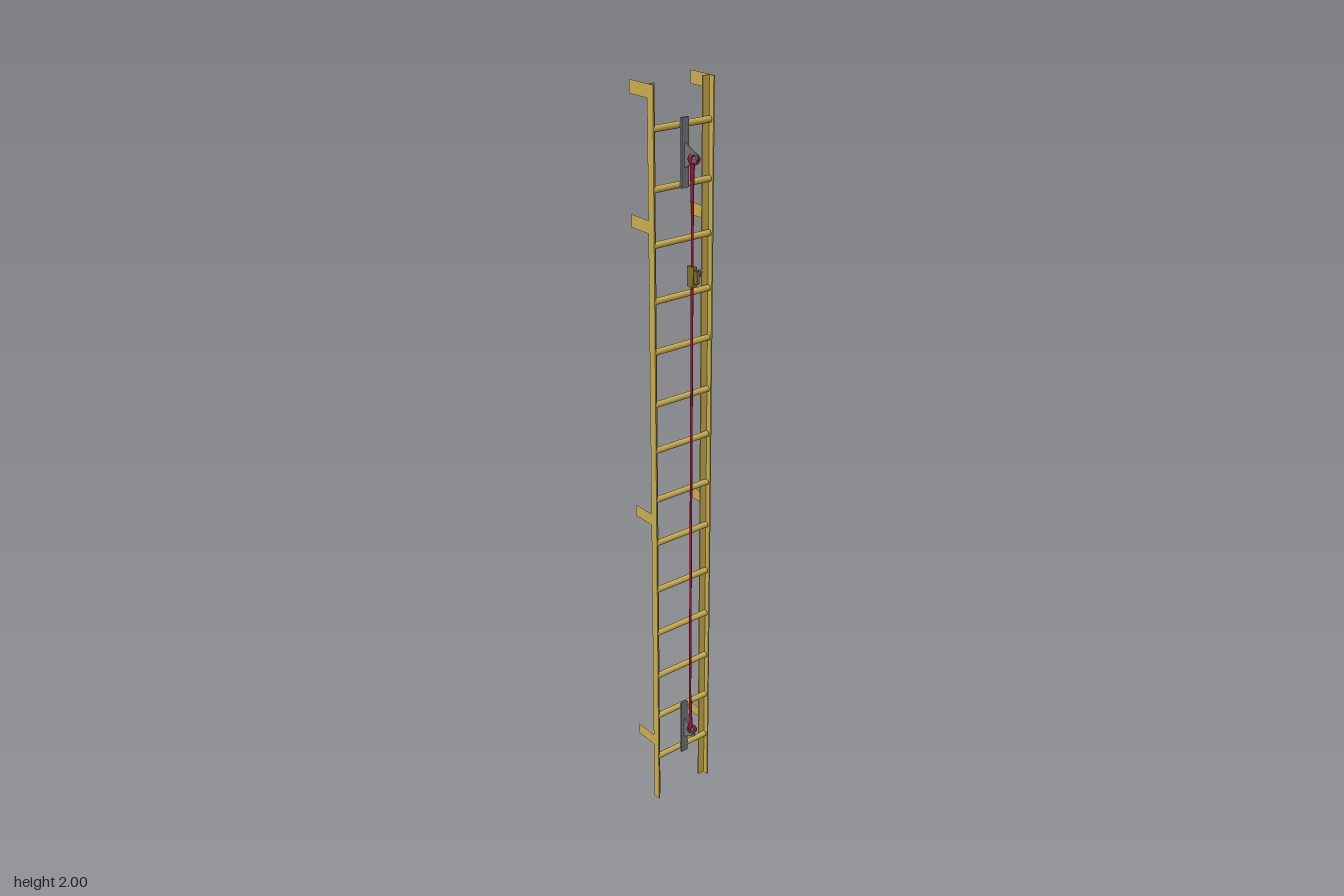
import * as THREE from 'three';

const mat = (color, side = THREE.FrontSide) => new THREE.MeshStandardMaterial({ color, side });

export function createModel() {
  const model = new THREE.Group();
  const gold = mat(0xc8ad50);
  const goldSheet = mat(0xc8ad50, THREE.DoubleSide);
  const grey = mat(0x74747a);
  const olive = mat(0x82722c);
  const red = mat(0x98143a);

  const add = (name, geometry, material, x = 0, y = 0, z = 0, parent = model) => {
    const mesh = new THREE.Mesh(geometry, material);
    mesh.name = name;
    mesh.position.set(x, y, z);
    parent.add(mesh);
    return mesh;
  };
  // Box given by its minimum and maximum corners
  const box = (name, material, a, b, parent) => add(
    name, new THREE.BoxGeometry(b[0] - a[0], b[1] - a[1], b[2] - a[2]), material,
    (a[0] + b[0]) / 2, (a[1] + b[1]) / 2, (a[2] + b[2]) / 2, parent);

  // Angle-section side rails: outer web with an inward flange along the back
  const rail = (name, side, flange, back) => {
    const s = new THREE.Shape();
    const outer = 0.09 * side, web = 0.0865 * side, inner = (0.09 - flange) * side;
    [[outer, -0.012], [outer, -back], [inner, -back], [inner, -back - 0.0035],
      [web, -back - 0.0035], [web, -0.012]].forEach(([x, y], i) => i ? s.lineTo(x, y) : s.moveTo(x, y));
    const g = new THREE.ExtrudeGeometry(s, { depth: 2, bevelEnabled: false });
    g.rotateX(-Math.PI / 2);
    add(name, g, gold);
  };
  rail('rightRail', -1, 0.019, -0.0095);
  rail('leftRail', 1, 0.023, -0.0065);

  // Rungs
  const rungGeometry = new THREE.CylinderGeometry(0.008, 0.008, 0.171, 20).rotateZ(Math.PI / 2);
  [1.9, 1.76, 1.627, 1.488, 1.358, 1.219, 1.093, 0.954, 0.827, 0.686, 0.551, 0.414, 0.281, 0.143]
    .forEach((y) => add('rung', rungGeometry, gold, -0.002, y, 0.003));

  // Thin wall straps running back from both rails
  const strapGeometry = new THREE.PlaneGeometry(0.087, 0.032).rotateY(Math.PI / 2);
  for (const y of [1.984, 1.67, 0.894, 0.195]) {
    for (const side of [-1, 1]) add('wallStrap', strapGeometry, goldSheet, 0.0895 * side, y, -0.0335);
  }

  // Anchor: mounting plate, gusset with an eye, and a rope loop through it
  const anchor = (name, plateBottom, plateTop, eyeY, ropeDir) => {
    const g = new THREE.Group();
    g.name = name;
    model.add(g);
    box('mountingPlate', grey, [-0.0115, plateBottom, 0.011], [0.0095, plateTop, 0.017], g);

    const s = new THREE.Shape();
    s.moveTo(0, -0.031);
    s.lineTo(0.033, -0.012);
    s.absarc(0.034, 0, 0.012, -Math.PI / 2, Math.PI / 2);
    s.lineTo(0, 0.029);
    const hole = new THREE.Path();
    hole.absarc(0.034, 0, 0.006, 0, Math.PI * 2, true);
    s.holes.push(hole);
    const gusset = new THREE.ExtrudeGeometry(s, { depth: 0.004, bevelEnabled: false, curveSegments: 10 });
    gusset.rotateY(-Math.PI / 2);
    add('eyeGusset', gusset, grey, 0.001, eyeY, 0.0165, g);

    const loop = add('ropeLoop', new THREE.TorusGeometry(0.01, 0.0048, 10, 24), red,
      0.003, eyeY + 0.006 * ropeDir, 0.044, g);
    loop.rotation.y = -Math.PI / 4;
    // Tapering splice above or below the loop
    const ends = ropeDir < 0 ? [0.006, 0.003] : [0.003, 0.006];
    add('ropeSplice', new THREE.CylinderGeometry(ends[0], ends[1], 0.11, 12), red,
      -0.001, eyeY + 0.07 * ropeDir, 0.043, g);
  };
  anchor('upperAnchor', 1.754, 1.918, 1.832, -1);
  anchor('lowerAnchor', 0.13, 0.297, 0.213, 1);

  // Safety rope
  const ropeLine = new THREE.LineCurve3(
    new THREE.Vector3(-0.003, 0.22, 0.043), new THREE.Vector3(0, 1.825, 0.043));
  add('safetyRope', new THREE.TubeGeometry(ropeLine, 1, 0.0033, 10), red);

  // Rope grab: body around the rope, with a hooked handle in front
  const grab = new THREE.Group();
  grab.name = 'ropeGrab';
  model.add(grab);
  box('grabBody', olive, [-0.006, 1.519, 0.03], [0.006, 1.569, 0.054], grab);
  box('grabCam', olive, [-0.004, 1.53, 0.054], [0.004, 1.562, 0.066], grab);
  const hook = new THREE.CatmullRomCurve3([
    [0.055, 1.553], [0.064, 1.564], [0.072, 1.568], [0.0765, 1.562], [0.0745, 1.553],
  ].map(([z, y]) => new THREE.Vector3(-0.001, y, z)));
  add('grabHook', new THREE.TubeGeometry(hook, 16, 0.002, 8), grey, 0, 0, 0, grab);

  return model;
}
